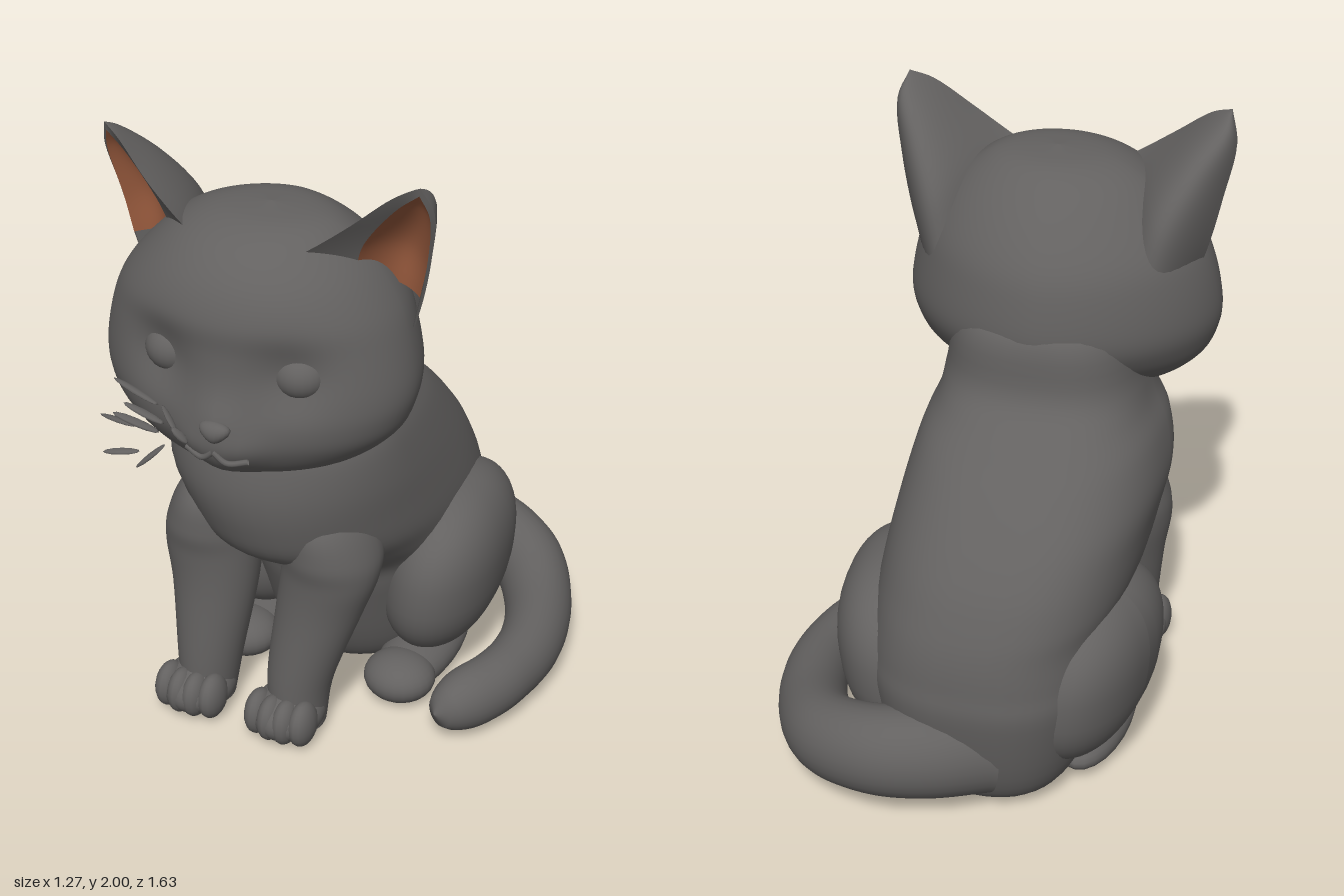
import * as THREE from 'three';

const V = (x, y, z) => new THREE.Vector3(x, y, z);
const MID = -0.105; // mirror plane of the ears in x

export function createModel() {
  const cat = new THREE.Group();
  cat.name = 'sittingKitten';
  const fur = new THREE.MeshStandardMaterial({ color: 0x636160, side: THREE.DoubleSide });
  fur.name = 'greyFur';
  const earSkin = new THREE.MeshStandardMaterial({ color: 0x93573b, side: THREE.DoubleSide });
  earSkin.name = 'innerEar';

  const add = (name, geometry, material = fur) => {
    const m = new THREE.Mesh(geometry, material);
    m.name = name;
    cat.add(m);
    return m;
  };

  // Skin a list of point rings (closed) or rows (open)
  function skin(rings, closed = true, flip = false) {
    const n = rings[0].length, idx = [];
    for (let i = 0; i < rings.length - 1; i++) {
      for (let j = 0; j < (closed ? n : n - 1); j++) {
        const k = (j + 1) % n;
        const a = i * n + j, b = i * n + k, c = a + n, d = b + n;
        if (flip) idx.push(a, b, c, b, d, c);
        else idx.push(a, c, b, b, c, d);
      }
    }
    const g = new THREE.BufferGeometry().setFromPoints(rings.flat());
    g.setIndex(idx);
    g.computeVertexNormals();
    return g;
  }

  const power = (v, e) => Math.sign(v) * Math.pow(Math.abs(v), e);

  // Upright loft; sections are [y, centre x, half width, back z, widest z, front z].
  // backPower below 1 squares off the rear half, above 1 makes it leaner.
  function loft(sections, { steps = 40, seg = 48, backPower = 1, shape = null } = {}) {
    const spline = (o) => new THREE.CatmullRomCurve3(
      sections.map((s) => V(s[o], s[o + 1], s[o + 2])), false, 'catmullrom', 0.5);
    const c1 = spline(0), c2 = spline(3), rings = [];
    for (let i = 0; i <= steps; i++) {
      const p = c1.getPoint(i / steps), q = c2.getPoint(i / steps), ring = [];
      for (let j = 0; j < seg; j++) {
        const t = (j / seg) * Math.PI * 2, e = Math.sin(t) > 0 ? 1 : backPower;
        const c = power(Math.cos(t), e), s = power(Math.sin(t), e);
        const v = V(p.y + p.z * c, p.x, q.y + s * (s > 0 ? q.z - q.y : q.y - q.x));
        if (shape) shape(v);
        ring.push(v);
      }
      rings.push(ring);
    }
    return skin(rings);
  }

  const ball = (name, pos, r, seg = 24) => {
    const m = add(name, new THREE.SphereGeometry(1, seg, Math.round(seg * 0.7)).scale(...r));
    m.position.set(...pos);
    return m;
  };

  // Torso: broad seat, sloping barrel back, upright chest and neck
  add('torso', loft([
    [0.01, -0.08, 0.001, -0.321, -0.32, -0.319],
    [0.02, -0.08, 0.2, -0.55, -0.32, -0.08],
    [0.12, -0.08, 0.3, -0.65, -0.32, 0.03],
    [0.38, -0.08, 0.36, -0.71, -0.3, 0.13],
    [0.5, -0.08, 0.37, -0.705, -0.25, 0.17],
    [0.6, -0.085, 0.375, -0.69, -0.18, 0.31],
    [0.69, -0.1, 0.39, -0.66, -0.1, 0.43],
    [0.8, -0.115, 0.395, -0.605, -0.02, 0.48],
    [0.92, -0.13, 0.395, -0.51, 0.07, 0.5],
    [1.04, -0.13, 0.37, -0.38, 0.13, 0.485],
    [1.13, -0.125, 0.33, -0.24, 0.15, 0.45],
    [1.22, -0.12, 0.31, -0.155, 0.16, 0.42],
    [1.4, -0.12, 0.27, -0.12, 0.16, 0.38],
    [1.5, -0.12, 0.1, 0.05, 0.16, 0.25],
  ], { steps: 65, backPower: 0.78 }));

  // Head, with eye sockets, muzzle, chin and nose bridge worked into the face
  const bumps = [ // [x, y, depth, spread]
    [-0.29, 1.44, -0.04, 0.011], [0.11, 1.44, -0.04, 0.011],
    [-0.15, 1.21, 0.036, 0.006], [-0.03, 1.21, 0.036, 0.006],
    [-0.09, 1.13, 0.025, 0.004], [-0.085, 1.31, 0.025, 0.005],
  ];
  const face = (v) => {
    if (v.z < 0.35) return;
    const { x, y } = v;
    for (const [bx, by, depth, spread] of bumps) {
      v.z += depth * Math.exp(-((x - bx) ** 2 + (y - by) ** 2) / spread);
    }
  };
  add('head', loft([
    [1.06, -0.12, 0.001, 0.419, 0.42, 0.421],
    [1.075, -0.12, 0.18, 0.25, 0.39, 0.53],
    [1.12, -0.12, 0.34, 0.12, 0.34, 0.6],
    [1.2, -0.12, 0.44, -0.01, 0.33, 0.645],
    [1.28, -0.12, 0.48, -0.09, 0.33, 0.66],
    [1.37, -0.12, 0.49, -0.125, 0.32, 0.66],
    [1.5, -0.12, 0.465, -0.11, 0.31, 0.655],
    [1.6, -0.115, 0.425, -0.075, 0.3, 0.655],
    [1.7, -0.105, 0.35, 0, 0.3, 0.615],
    [1.78, -0.1, 0.26, 0.09, 0.3, 0.54],
    [1.825, -0.09, 0.16, 0.18, 0.31, 0.44],
    [1.84, -0.09, 0.001, 0.309, 0.31, 0.311],
  ], { steps: 77, seg: 80, backPower: 1.12, shape: face }));

  // Eyes, nose and mouth
  ball('rightEye', [-0.29, 1.44, 0.545], [0.084, 0.076, 0.08]);
  ball('leftEye', [0.11, 1.44, 0.525], [0.084, 0.076, 0.08]);
  const nose = add('nose', new THREE.SphereGeometry(1, 20, 14));
  const np = nose.geometry.attributes.position;
  for (let i = 0; i < np.count; i++) { // wide above, narrow below
    np.setX(i, np.getX(i) * (0.75 + 0.35 * np.getY(i)));
  }
  nose.geometry.computeVertexNormals();
  nose.scale.set(0.06, 0.034, 0.03);
  nose.position.set(-0.08, 1.28, 0.69);
  for (const s of [-1, 1]) {
    const lip = new THREE.CatmullRomCurve3([
      V(-0.085, 1.215, 0.695), V(-0.085 + s * 0.04, 1.185, 0.689), V(-0.085 + s * 0.1, 1.195, 0.67)]);
    add('mouthLine', new THREE.TubeGeometry(lip, 12, 0.009, 8));
  }

  // Whiskers: thin tapered slivers on the right cheek
  [
    [-0.28, 1.30, 0.66, -0.44, 1.34, 0.64], [-0.24, 1.27, 0.7, -0.36, 1.32, 0.72],
    [-0.32, 1.25, 0.72, -0.46, 1.24, 0.69], [-0.22, 1.28, 0.76, -0.34, 1.34, 0.81],
    [-0.27, 1.22, 0.79, -0.38, 1.2, 0.81], [-0.2, 1.25, 0.7, -0.28, 1.29, 0.64],
    [-0.24, 1.2, 0.7, -0.33, 1.11, 0.72], [-0.17, 1.22, 0.69, -0.21, 1.27, 0.71],
  ].forEach((w) => {
    const a = V(w[0], w[1], w[2]), b = V(w[3], w[4], w[5]);
    const m = add('whisker', new THREE.SphereGeometry(1, 8, 6));
    m.scale.set(0.006, a.distanceTo(b) / 2, 0.015);
    m.position.copy(a).lerp(b, 0.5);
    m.quaternion.setFromUnitVectors(V(0, 1, 0), b.sub(a).normalize());
  });

  // Ears: cupped sheets arching from one edge through a middle line to the other edge
  const curve = (pts) => new THREE.CatmullRomCurve3(pts.map((p) => V(...p)));
  const tip = [-0.605, 2.0, 0.36], innerTip = [-0.602, 1.975, 0.358];
  const innerEdge = curve([[-0.27, 1.76, 0.46], [-0.34, 1.81, 0.45], [-0.43, 1.88, 0.43], [-0.54, 1.97, 0.39], tip]);
  const outerEdge = curve([[-0.53, 1.45, 0.26], [-0.575, 1.6, 0.265], [-0.607, 1.75, 0.28], [-0.632, 1.91, 0.32], tip]);
  const backLine = curve([[-0.4, 1.55, 0.08], [-0.45, 1.72, 0.11], [-0.53, 1.87, 0.2], [-0.6, 1.965, 0.295], tip]);
  const foldEdge = curve([[-0.4, 1.68, 0.34], [-0.435, 1.79, 0.365], [-0.535, 1.92, 0.365], innerTip]);
  const cupLine = curve([[-0.48, 1.64, 0.25], [-0.51, 1.77, 0.25], [-0.575, 1.91, 0.31], innerTip]);
  const cupOuter = curve([[-0.573, 1.62, 0.28], [-0.598, 1.74, 0.288], [-0.62, 1.9, 0.327], innerTip]);
  const halfway = (a, b) => ({ getPoint: (t) => a.getPoint(t).lerp(b.getPoint(t), 0.5) });
  const sheet = (a, middle, b, s) => {
    const rows = [];
    for (let i = 0; i <= 20; i++) {
      const p = a.getPoint(i / 20), q = b.getPoint(i / 20);
      const control = middle.getPoint(i / 20).multiplyScalar(2).addScaledVector(p, -0.5).addScaledVector(q, -0.5);
      const row = new THREE.QuadraticBezierCurve3(p, control, q).getPoints(18);
      if (s > 0) row.forEach((v) => { v.x = 2 * MID - v.x; });
      rows.push(row);
    }
    return rows;
  };

  for (const s of [-1, 1]) {
    const side = s > 0 ? 'left' : 'right';

    add(side + 'EarShell', skin(sheet(innerEdge, backLine, outerEdge, s), false, s < 0));
    add(side + 'EarFold', skin(sheet(innerEdge, halfway(innerEdge, foldEdge), foldEdge, s), false, s > 0));
    add(side + 'EarRim', skin(sheet(cupOuter, halfway(cupOuter, outerEdge), outerEdge, s), false, s > 0));
    add(side + 'InnerEar', skin(sheet(foldEdge, cupLine, cupOuter, s), false, s > 0), earSkin);

    // Front leg, sinking into the chest: [y, middle x, offset, half width, back, widest, front z]
    const leg = [
      [0.03, -0.185, 0.165, 0.085, 0.22, 0.32, 0.42],
      [0.2, -0.18, 0.163, 0.105, 0.19, 0.31, 0.42],
      [0.45, -0.15, 0.185, 0.138, 0.14, 0.28, 0.405],
      [0.6, -0.135, 0.205, 0.155, 0.11, 0.27, 0.41],
      [0.7, -0.13, 0.205, 0.15, 0.1, 0.25, 0.425],
      [0.82, -0.13, 0.19, 0.11, 0.1, 0.24, 0.4],
      [0.92, -0.13, 0.17, 0.01, 0.22, 0.24, 0.26],
    ].map(([y, m, d, r, b, c, f]) => [y, m + s * d, r, b, c, f]);
    add(side + 'FrontLeg', loft(leg, { steps: 36, seg: 32 }));

    // Front paw with four soft toes
    const px = s > 0 ? -0.035 : -0.36;
    ball(side + 'FrontPaw', [px, 0.085, 0.36], [0.115, 0.085, 0.135]);
    for (let i = 0; i < 4; i++) {
      const o = i - 1.5;
      ball(side + 'FrontToe', [px + o * 0.052, 0.09, 0.435 - Math.abs(o) * 0.014], [0.042, 0.078, 0.068], 16);
    }

    // Haunch: a squared-off ellipsoid, its rear turned in to the body
    const g = new THREE.SphereGeometry(1, 40, 28), p = g.attributes.position;
    for (let i = 0; i < p.count; i++) {
      const y = power(p.getY(i), 0.84);
      p.setXYZ(i, p.getX(i) * 0.19 + s * 0.03 * y, y * 0.29, power(p.getZ(i), 0.86) * 0.345);
    }
    g.computeVertexNormals();
    const haunch = add(side + 'Haunch', g);
    haunch.position.set(s > 0 ? 0.235 : -0.375, 0.395, -0.265);
    haunch.rotation.y = s * 0.12;

    // Hind foot, lying flat
    const fx = s > 0 ? 0.2 : -0.37;
    ball(side + 'HindFoot', [fx, 0.08, -0.14], [0.115, 0.08, 0.28]);
    ball(side + 'HindToes', [fx, 0.08, 0.035], [0.118, 0.08, 0.11]);
  }

  // Tail, curling round the left side to the front
  const path = curve([
    [-0.12, 0.22, -0.55], [0.03, 0.23, -0.65], [0.18, 0.225, -0.685], [0.36, 0.19, -0.62],
    [0.48, 0.15, -0.45], [0.54, 0.135, -0.23], [0.52, 0.13, -0.02], [0.45, 0.12, 0.13], [0.41, 0.12, 0.225],
  ]);
  const frames = path.computeFrenetFrames(60), tail = [];
  for (let i = 0; i <= 60; i++) {
    const u = i / 60, c = path.getPointAt(u);
    const end = Math.sqrt(Math.max(0, 1 - Math.pow(Math.max(0, (u - 0.88) / 0.12), 2)));
    const r = (0.145 - 0.05 * Math.min(1, u * 1.3)) * Math.max(end, 0.02), ring = [];
    for (let j = 0; j < 28; j++) {
      const t = (-j / 28) * Math.PI * 2;
      const v = c.clone().addScaledVector(frames.normals[i], r * Math.cos(t))
        .addScaledVector(frames.binormals[i], r * Math.sin(t));
      v.y = c.y + (v.y - c.y) * 1.12;
      ring.push(v);
    }
    tail.push(ring);
  }
  add('tail', skin(tail));

  return cat;
}
